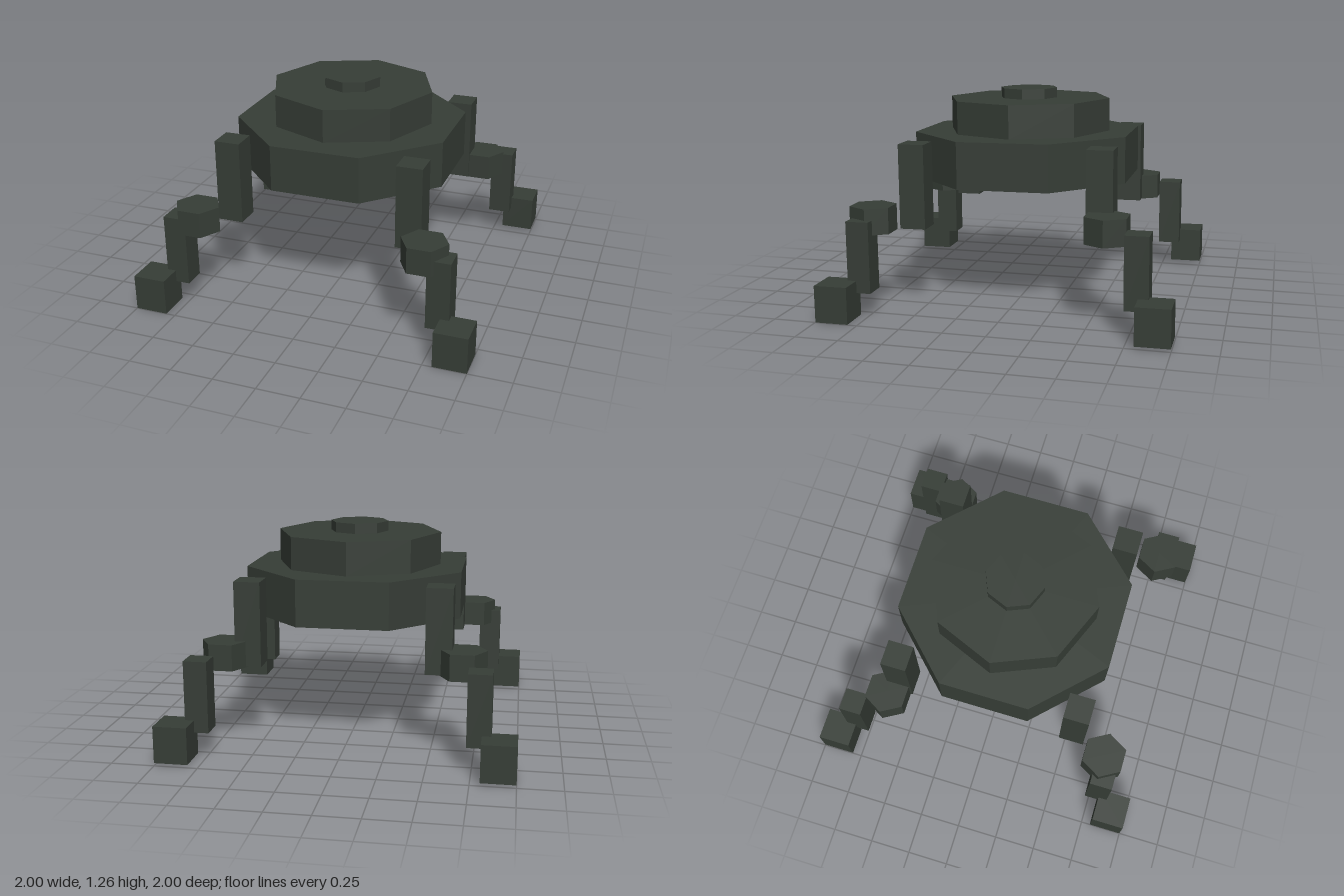
import * as THREE from 'three';

export function createModel() {
  const model = new THREE.Group();
  model.name = 'walker';
  const darkGreen = new THREE.MeshStandardMaterial({ color: 0x363d36 });
  darkGreen.name = 'darkGreen';
  darkGreen.flatShading = true;

  const add = (parent, name, geometry, x, y, z) => {
    const mesh = new THREE.Mesh(geometry, darkGreen);
    mesh.name = name;
    mesh.position.set(x, y, z);
    parent.add(mesh);
    return mesh;
  };
  // Upright prism between two heights
  const prism = (radius, height, sides, turn = 0) =>
    new THREE.CylinderGeometry(radius, radius, height, sides).rotateY(turn);

  // The whole machine leans very slightly forward
  const machine = new THREE.Group();
  machine.name = 'machine';
  machine.rotation.x = 0.008;
  model.add(machine);

  // Stacked octagonal body
  add(machine, 'hull', prism(0.692, 0.274, 8, Math.PI / 8), -0.002, 0.867, 0);
  add(machine, 'upperDeck', prism(0.497, 0.196, 8), -0.003, 1.102, -0.004);
  add(machine, 'hatch', prism(0.175, 0.06, 8), -0.003, 1.23, -0.004);

  // Four legs; the knees of the back pair sit closer in
  for (const sz of [1, -1]) {
    for (const sx of [1, -1]) {
      const leg = new THREE.Group();
      leg.name = (sz > 0 ? 'front' : 'back') + (sx > 0 ? 'Left' : 'Right') + 'Leg';
      machine.add(leg);
      add(leg, 'upperLeg', new THREE.BoxGeometry(0.152, 0.495, 0.152), sx * 0.547, 0.731, sz * 0.548 - 0.005);
      add(leg, 'knee', prism(0.136, 0.153, 6, Math.PI / 6), sx * 0.683, 0.555, sz > 0 ? 0.758 : -0.607);
      add(leg, 'lowerLeg', new THREE.BoxGeometry(0.135, 0.415, 0.135), sx * 0.79, 0.358, sz * 0.792 - 0.003);
      add(leg, 'foot', new THREE.BoxGeometry(0.194, 0.214, 0.194), sx * 0.903, 0.115, sz * 0.902);
    }
  }
  return model;
}
